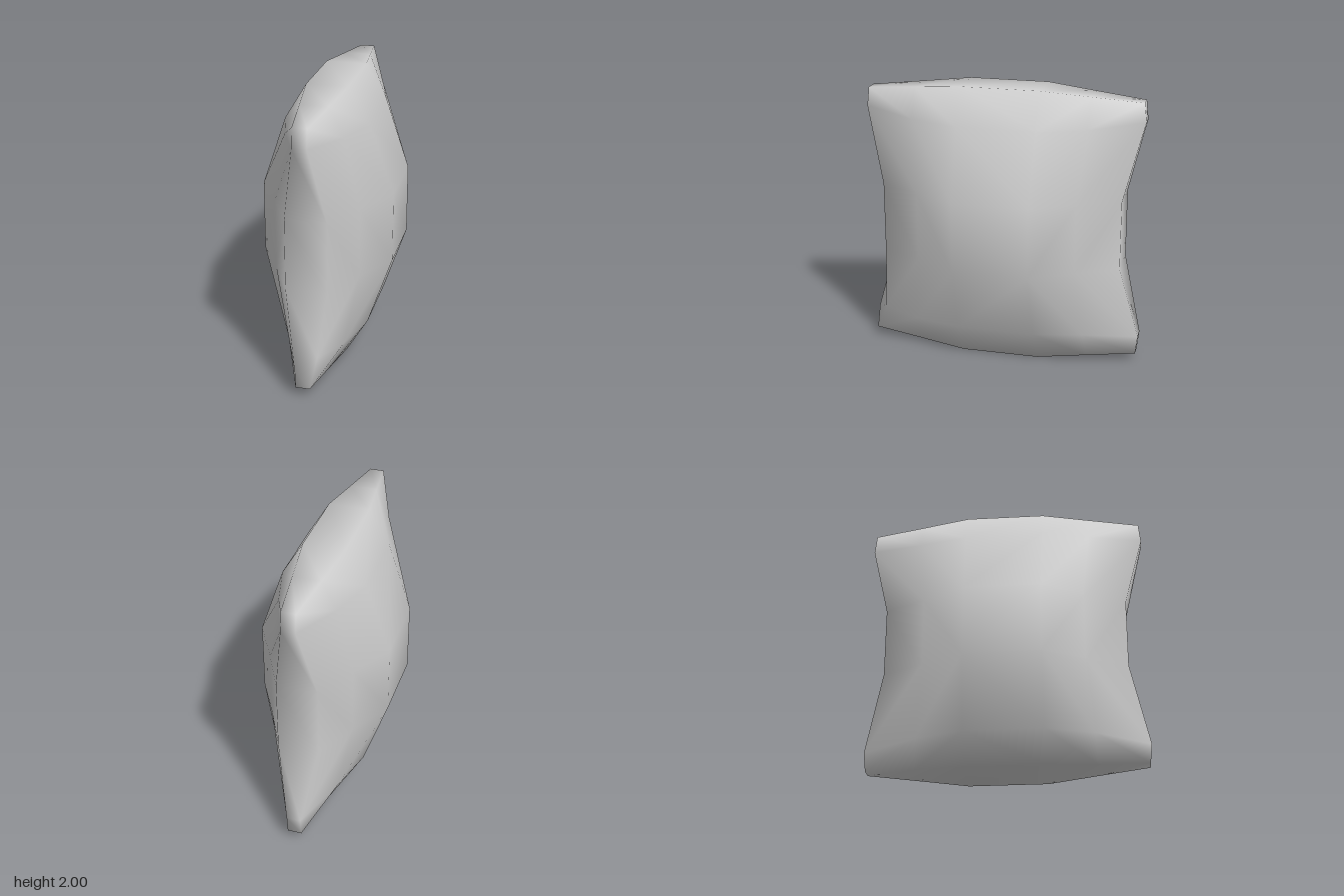
import * as THREE from 'three';

// One quadrant of the pillow: quarter[row][column] = [half thickness, height from middle, depth]
const quarter = [
  [[0.465, 0.25, 0.27], [0.295, 0.25, 0.57], [0.145, 0.25, 0.865]],
  [[0.295, 0.75, 0.28], [0.2, 0.76, 0.62], [0.05, 0.8, 1.0]],
  [[0.145, 1.0, 0.28], [0.098, 0.967, 0.63], [0.05, 0.935, 0.985]],
];
const N = 6; // grid points along each side of a face

// Grid index 0..5 becomes a sign and a step out from the middle
const split = (i) => (i < 3 ? [-1, 2 - i] : [1, i - 3]);

function point(side, row, col) {
  const [sy, r] = split(row);
  const [sz, c] = split(col);
  let [x, y, z] = quarter[r][c];
  // Slight sag of the lower seam on one side
  if (side < 0 && row === 0 && r === 2 && c < 2) y = c === 0 ? 0.955 : 0.95;
  // Fold near the lower front corner on the other side
  if (side > 0 && row === 1 && col === 5) { x = 0.08; y = 0.74; z = 0.9; }
  return [side * x, 1 + sy * y, sz * z];
}

function pillowGeometry() {
  const positions = [];
  const index = [];
  for (const side of [1, -1])
    for (let row = 0; row < N; row++)
      for (let col = 0; col < N; col++) positions.push(...point(side, row, col));
  const id = (side, row, col) => (side > 0 ? 0 : N * N) + row * N + col;

  // Two bulging faces; the diagonals run outward to the corners
  for (const side of [1, -1]) {
    for (let row = 0; row < N - 1; row++) {
      for (let col = 0; col < N - 1; col++) {
        const a = id(side, row, col), b = id(side, row + 1, col);
        const c = id(side, row + 1, col + 1), d = id(side, row, col + 1);
        const outward = (row < 2) === (col < 2);
        const tris = outward ? [[a, b, c], [a, c, d]] : [[a, b, d], [b, c, d]];
        for (const [p, q, r] of tris) index.push(...(side > 0 ? [p, r, q].reverse() && [p, q, r] : [p, r, q]));
      }
    }
  }

  // Narrow seam joining the two faces, walked round the border
  const border = [];
  for (let i = 0; i < N - 1; i++) border.push([0, i]);
  for (let i = 0; i < N - 1; i++) border.push([i, N - 1]);
  for (let i = N - 1; i > 0; i--) border.push([N - 1, i]);
  for (let i = N - 1; i > 0; i--) border.push([i, 0]);
  border.forEach((p, i) => {
    const q = border[(i + 1) % border.length];
    const a = id(1, ...p), b = id(1, ...q), c = id(-1, ...q), d = id(-1, ...p);
    index.push(a, b, c, a, c, d);
  });

  const geometry = new THREE.BufferGeometry();
  geometry.setAttribute('position', new THREE.Float32BufferAttribute(positions, 3));
  geometry.setIndex(index);
  geometry.computeVertexNormals();
  return geometry;
}

export function createModel() {
  const group = new THREE.Group();
  group.name = 'pillow';
  const cover = new THREE.Mesh(pillowGeometry(), new THREE.MeshStandardMaterial({ color: 0xcccccc }));
  cover.name = 'pillowCover';
  group.add(cover);
  return group;
}
